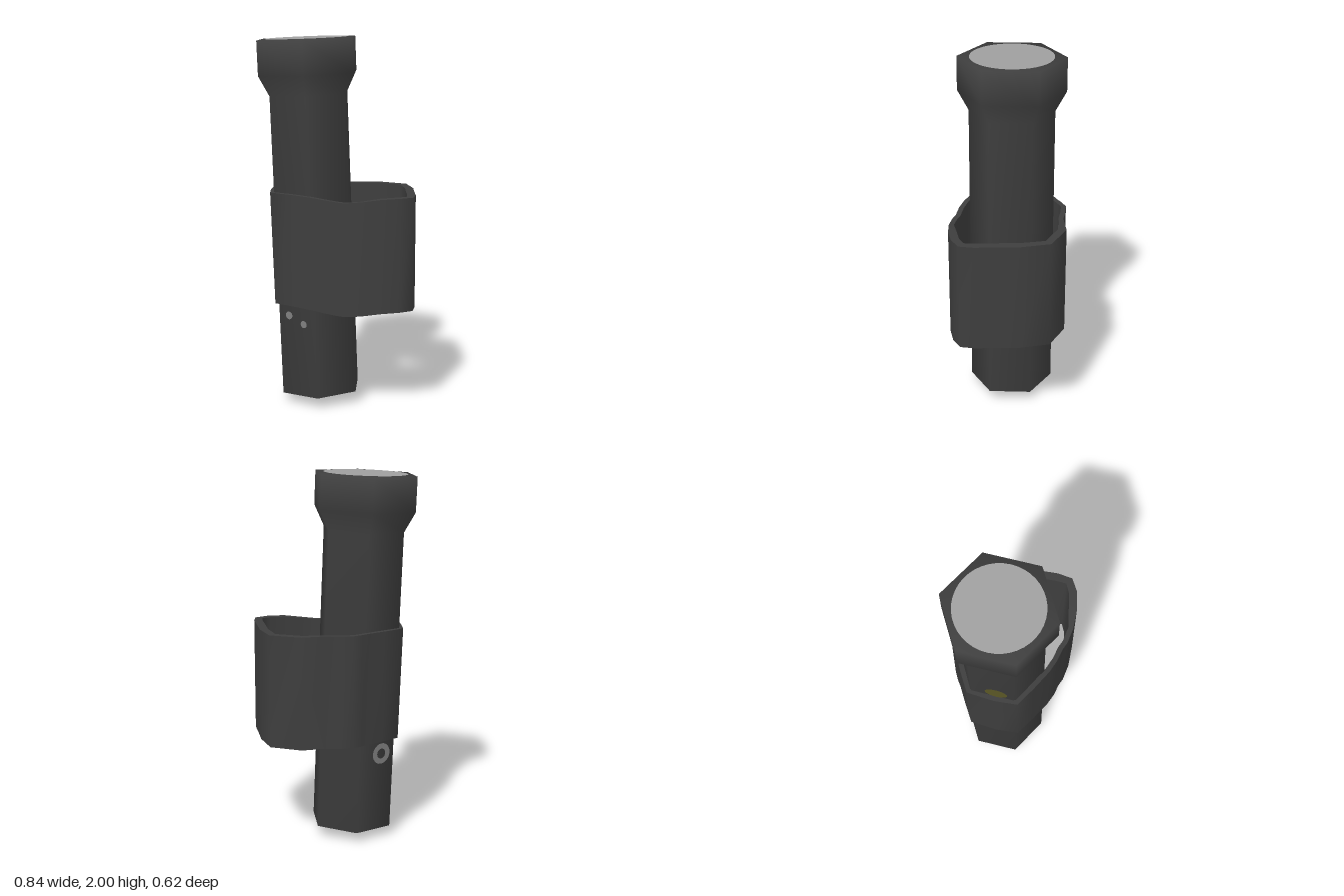
import * as THREE from 'three';

const mat = (name, color, extra = {}) => {
  const m = new THREE.MeshStandardMaterial({ color, ...extra });
  m.name = name;
  return m;
};

// Loop of the strap seen from above (x, z), outer side
const STRAP = [
  [-0.15, -0.262], [-0.12, -0.283], [-0.07, -0.31], [0, -0.307], [0.08, -0.296], [0.205, -0.313],
  [0.365, -0.235], [0.405, -0.08], [0.41, 0.02], [0.42, 0.16], [0.41, 0.24],
  [0.34, 0.283], [0.245, 0.305], [0.135, 0.31], [0.05, 0.298], [0.01, 0.283],
  [-0.06, 0.27], [-0.13, 0.246], [-0.24, 0.188], [-0.345, 0.125], [-0.355, 0], [-0.345, -0.148],
  [-0.24, -0.212],
];

// One edge of the strap: inset inward, leaning with the body on the left, dipping at the front
function strapEdge(y, inset) {
  const n = STRAP.length;
  return STRAP.map(([x, z], i) => {
    const p = STRAP[(i + n - 1) % n], q = STRAP[(i + 1) % n];
    const tx = q[0] - p[0], tz = q[1] - p[1], len = Math.hypot(tx, tz);
    const thick = inset * (x > 0.15 ? 0.045 : 0.027);
    const lean = 0.0375 * (y - 0.87) * THREE.MathUtils.clamp(-x / 0.3, 0, 1);
    const dip = z > 0.15 ? 0.025 * Math.exp(-(((x - 0.05) / 0.14) ** 2)) : 0;
    return [x - (tz / len) * thick - lean, y - dip, z + (tx / len) * thick];
  });
}

// Band with separate strips for outer wall, top rim, inner wall and bottom rim
function strapGeometry() {
  const edges = [strapEdge(0.567, 0), strapEdge(1.175, 0), strapEdge(1.175, 1), strapEdge(0.567, 1)];
  const n = STRAP.length, pos = [], idx = [];
  edges.forEach((a, k) => {
    const b = edges[(k + 1) % 4], base = pos.length / 3;
    for (let i = 0; i < n; i++) {
      pos.push(...a[i], ...b[i]);
      const a0 = base + i * 2, a1 = base + ((i + 1) % n) * 2;
      idx.push(a0, a0 + 1, a1, a1, a0 + 1, a1 + 1);
    }
  });
  const g = new THREE.BufferGeometry();
  g.setAttribute('position', new THREE.Float32BufferAttribute(pos, 3));
  g.setIndex(idx);
  g.computeVertexNormals();
  return g;
}

export function createModel() {
  const dark = mat('dark rubber', 0x3e3e3e);
  const glass = mat('light grey lens', 0xa0a0a0);
  const grey = mat('grey marking', 0x808080);
  const olive = mat('olive button', 0x5c5826);

  const model = new THREE.Group();
  model.name = 'handTorch';
  const add = (parent, name, geo, material) => {
    const m = new THREE.Mesh(geo, material);
    m.name = name;
    parent.add(m);
    return m;
  };

  // Slightly leaning torch
  const torch = new THREE.Group();
  torch.name = 'torch';
  torch.position.set(-0.095, 0.004, -0.013);
  torch.rotation.z = 0.0375;
  model.add(torch);

  // Six-sided body with pointed base and flared head
  const profile = [[0, 0], [0.23, 0.058], [0.23, 1.69], [0.29, 1.8], [0.29, 1.985], [0, 1.985]]
    .map(([r, y]) => new THREE.Vector2(r, y));
  add(torch, 'body', new THREE.LatheGeometry(profile, 6), dark);

  // Lens on the head
  const lens = add(torch, 'lens', new THREE.CircleGeometry(0.224, 40), glass);
  lens.rotation.x = -Math.PI / 2;
  lens.position.y = 1.988;

  // Flat details on the body faces: angle of the face from +z, offset along it, height
  const onFace = (name, geo, material, degrees, along, y) => {
    const a = THREE.MathUtils.degToRad(degrees), d = 0.202;
    const m = add(torch, name, geo, material);
    m.rotation.y = a;
    m.position.set(Math.sin(a) * d + Math.cos(a) * along, y, Math.cos(a) * d - Math.sin(a) * along);
  };
  onFace('upperDot', new THREE.CircleGeometry(0.022, 16), grey, -30, -0.05, 0.505);
  onFace('lowerDot', new THREE.CircleGeometry(0.02, 16), grey, -30, 0.045, 0.465);
  onFace('ringMark', new THREE.RingGeometry(0.028, 0.058, 24), grey, -150, 0.03, 0.49);
  onFace('button', new THREE.CircleGeometry(0.06, 20), olive, -90, 0.02, 1.24);

  // Hand strap
  add(model, 'strap', strapGeometry(), dark);

  return model;
}
